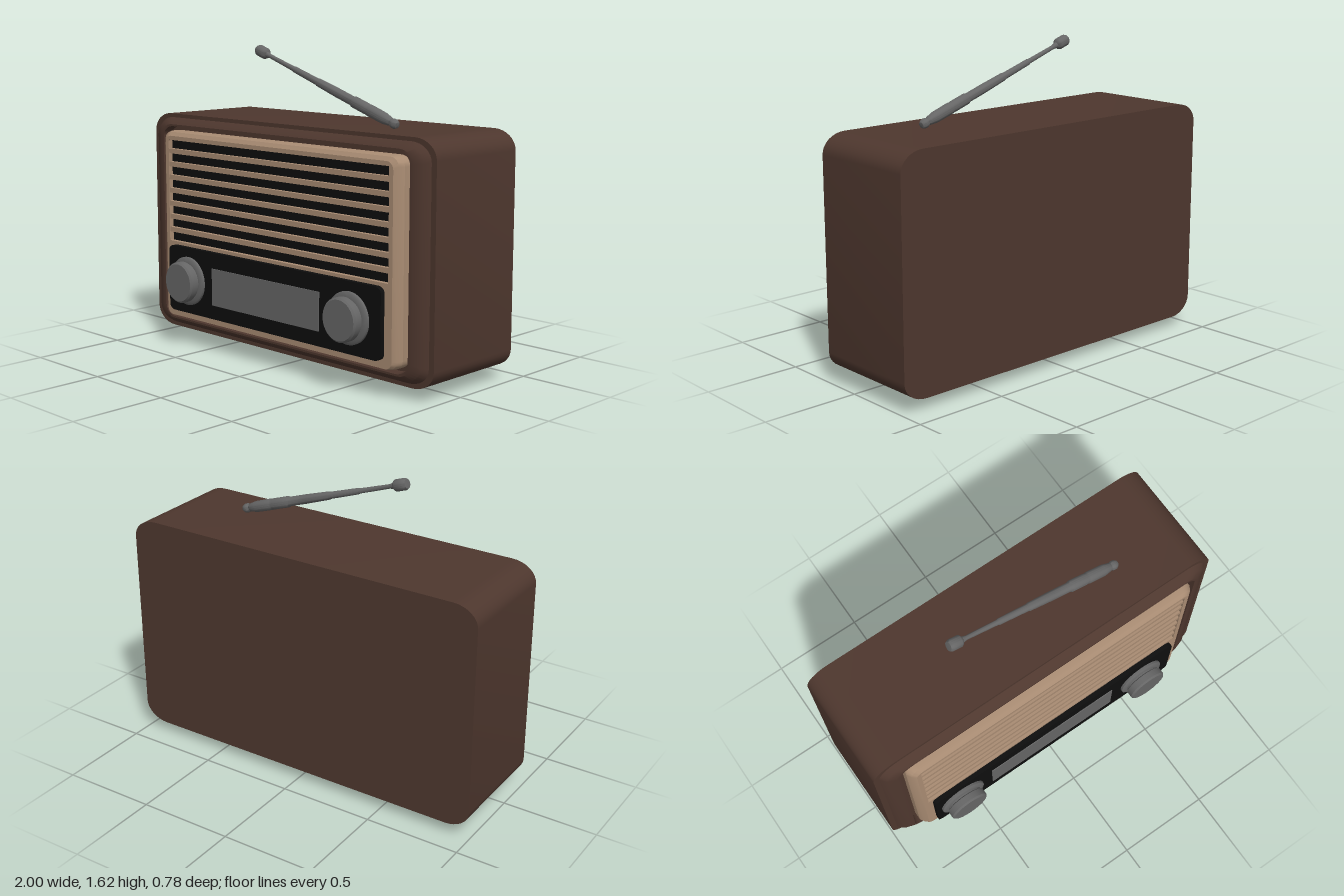
import * as THREE from 'three';
import { toCreasedNormals } from 'three/addons/utils/BufferGeometryUtils.js';

const mat = (name, color) => {
  const m = new THREE.MeshStandardMaterial({ color });
  m.name = name;
  return m;
};

// Rounded rectangle outline, counter-clockwise, with elliptical corners
function outline(hw, y0, y1, rx, ry, steps = 8) {
  const pts = [];
  const corners = [[hw - rx, y1 - ry], [-hw + rx, y1 - ry], [-hw + rx, y0 + ry], [hw - rx, y0 + ry]];
  corners.forEach(([cx, cy], q) => {
    for (let i = 0; i <= steps; i++) {
      const a = (q + i / steps) * Math.PI / 2;
      pts.push([cx + rx * Math.cos(a), cy + ry * Math.sin(a)]);
    }
  });
  return pts;
}

// Skin over rings [halfWidth, y0, y1, rx, ry, z], capped at both ends
function loft(rings, crease = 0.5) {
  const loops = rings.map(([hw, y0, y1, rx, ry]) => outline(hw, y0, y1, rx, ry));
  const n = loops[0].length;
  const pos = [], index = [];
  loops.forEach((l, i) => l.forEach(([x, y]) => pos.push(x, y, rings[i][5])));
  for (let i = 0; i < rings.length - 1; i++) {
    for (let j = 0; j < n; j++) {
      const k = (j + 1) % n, a = i * n, b = a + n;
      index.push(a + j, a + k, b + k, a + j, b + k, b + j);
    }
  }
  const last = (rings.length - 1) * n;
  for (let j = 1; j < n - 1; j++) {
    index.push(0, j + 1, j);
    index.push(last, last + j, last + j + 1);
  }
  const g = new THREE.BufferGeometry();
  g.setAttribute('position', new THREE.Float32BufferAttribute(pos, 3));
  g.setIndex(index);
  return toCreasedNormals(g, crease);
}

const lathe = (profile, sides) =>
  toCreasedNormals(new THREE.LatheGeometry(profile.map(([r, y]) => new THREE.Vector2(r, y)), sides), 0.6);

export function createModel() {
  const brown = mat('brown wood', 0x4e372e);
  const tan = mat('tan trim', 0xa98c73);
  const black = mat('black plastic', 0x0e0e0e);
  const grey = mat('grey metal', 0x666666);
  const model = new THREE.Group();
  model.name = 'radio';
  const add = (name, geometry, material, x = 0, y = 0, z = 0) => {
    const m = new THREE.Mesh(geometry, material);
    m.name = name;
    m.position.set(x, y, z);
    model.add(m);
    return m;
  };
  const box = (w, h, d) => new THREE.BoxGeometry(w, h, d);

  // Cabinet with a rounded front lip and a shallow recess
  add('cabinet', loft([
    [1, 0.06, 1.24, 0.13, 0.1, -0.39],
    [1, 0.06, 1.24, 0.13, 0.1, 0.2],
    [0.97, 0.08, 1.22, 0.12, 0.09, 0.2],
    [0.945, 0.095, 1.205, 0.11, 0.08, 0.228],
    [0.9, 0.115, 1.187, 0.09, 0.07, 0.245],
    [0.88, 0.125, 1.177, 0.08, 0.06, 0.245],
    [0.87, 0.13, 1.172, 0.07, 0.06, 0.2],
  ]), brown);

  // Tan surround with chamfered edge and an open middle
  add('frontFrame', loft([
    [0.85, 0.145, 1.155, 0.06, 0.05, 0.195],
    [0.85, 0.145, 1.155, 0.06, 0.05, 0.245],
    [0.835, 0.147, 1.15, 0.05, 0.045, 0.27],
    [0.815, 0.15, 1.13, 0.04, 0.04, 0.285],
    [0.79, 0.185, 1.108, 0.005, 0.005, 0.285],
    [0.79, 0.185, 1.108, 0.005, 0.005, 0.25],
  ]), tan);
  add('lowerBoard', box(1.58, 0.375, 0.035), tan, 0, 0.3725, 0.2675);

  // Speaker grille: dark backing behind horizontal slats
  add('grilleBacking', box(1.58, 0.55, 0.008), black, 0, 0.834, 0.256);
  for (let i = 0; i < 7; i++) {
    add('grilleSlat', box(1.58, 0.026, 0.027), tan, 0, 1.048 - i * 0.0712, 0.2685);
  }

  // Control panel and display window
  add('controlPanel', loft([
    [0.768, 0.187, 0.543, 0.04, 0.03, 0.28],
    [0.768, 0.187, 0.543, 0.04, 0.03, 0.31],
  ]), black);
  add('display', box(0.785, 0.197, 0.008), grey, -0.023, 0.361, 0.311);

  // Tuning and volume knobs
  const knob = lathe([
    [0, 0], [0.13, 0], [0.13, 0.014], [0.122, 0.02], [0.1, 0.022], [0.1, 0.03],
    [0.109, 0.036], [0.109, 0.07], [0.1, 0.079], [0, 0.079],
  ], 40);
  knob.rotateX(Math.PI / 2);
  for (const x of [-0.607, 0.567]) add('knob', knob, grey, x, 0.365, 0.308);

  // Tapered feet
  const foot = box(0.28, 0.065, 0.19);
  const p = foot.attributes.position;
  for (let i = 0; i < p.count; i++) {
    if (p.getY(i) < 0) p.setXYZ(i, p.getX(i) * 0.57, p.getY(i), p.getZ(i) * 0.73);
  }
  foot.computeVertexNormals();
  for (const x of [-0.57, 0.57]) add('foot', foot, black, x, 0.0325, -0.095);

  // Telescopic antenna leaning across the top
  const start = new THREE.Vector3(0.575, 1.258, -0.015);
  const dir = new THREE.Vector3(-0.407, 1.594, -0.015).sub(start);
  const antenna = add('antenna', lathe([
    [0, -0.005], [0.016, 0], [0.024, 0.014], [0.024, 0.03], [0.018, 0.042], [0.022, 0.05],
    [0.029, 0.09], [0.03, 0.19], [0.027, 0.2], [0.029, 0.21], [0.029, 0.3], [0.024, 0.31],
    [0.024, 0.42], [0.021, 0.56], [0.018, 0.57], [0.016, 0.74], [0.013, 0.75],
    [0.011, 0.93], [0.016, 0.955], [0.026, 0.962], [0.03, 0.97], [0.03, 1.02],
    [0.024, 1.032], [0, 1.034],
  ], 20), grey);
  antenna.position.copy(start);
  antenna.quaternion.setFromUnitVectors(new THREE.Vector3(0, 1, 0), dir.normalize());

  return model;
}
